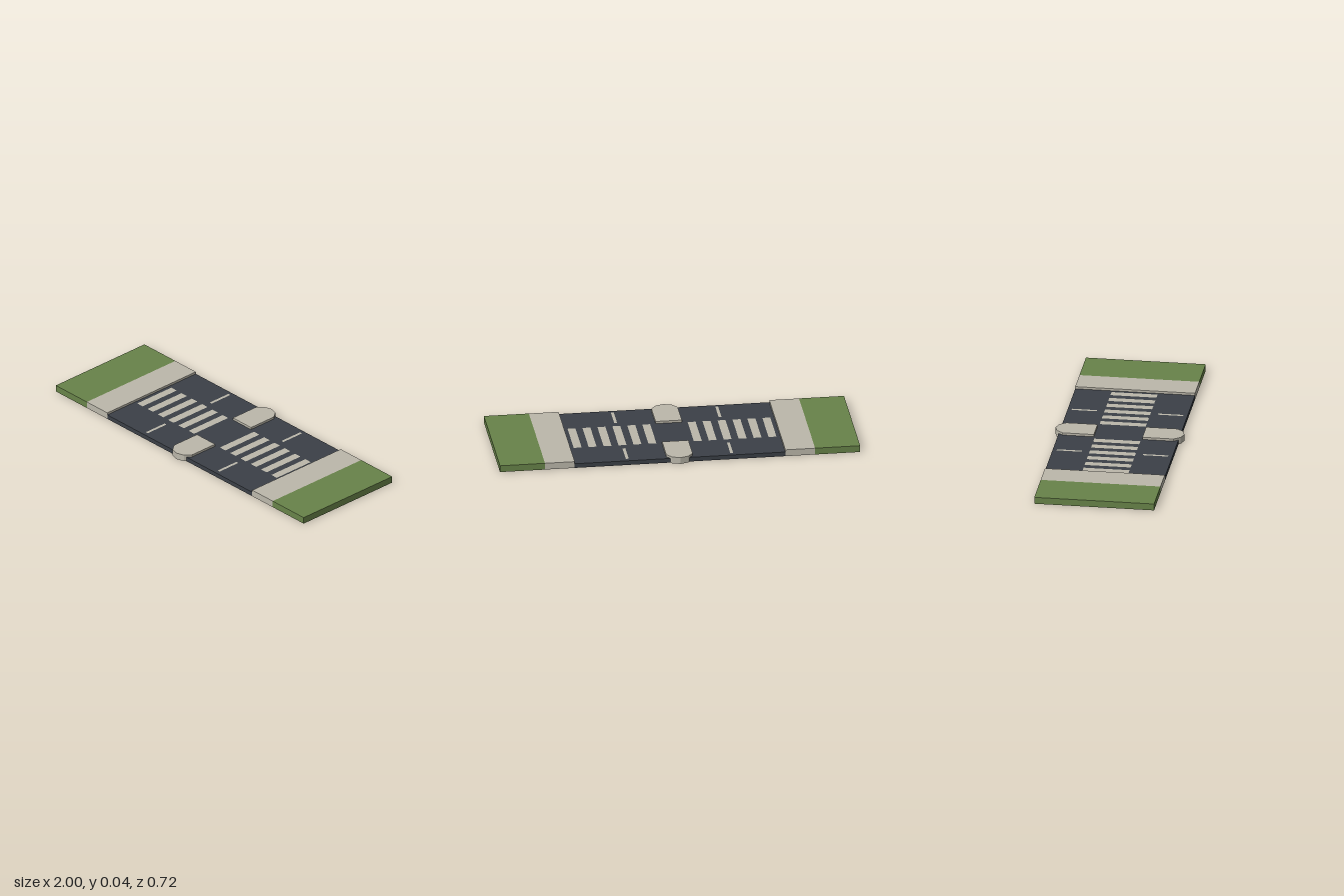
import * as THREE from 'three';

function flat(name, color) {
  const m = new THREE.MeshStandardMaterial({ color, side: THREE.DoubleSide });
  m.name = name;
  return m;
}

export function createModel() {
  const model = new THREE.Group();
  model.name = 'pedestrianCrossing';

  const grass = flat('grass green', 0x688349);
  const stone = flat('pale stone', 0xbcb8ab);
  const asphalt = flat('dark asphalt', 0x3b4047);

  const HALF_DEPTH = 0.333, KERB = 0.038, ROAD = 0.025;
  // Face order within a box
  const PX = 0, NX = 1, PY = 2, PZ = 4, NZ = 5;

  function add(name, geometry, material) {
    const mesh = new THREE.Mesh(geometry, material);
    mesh.name = name;
    model.add(mesh);
    return mesh;
  }

  // Hollow slab standing on the ground that keeps only the listed faces
  function shell(name, x0, x1, height, faces, material) {
    const g = new THREE.BoxGeometry(x1 - x0, height, HALF_DEPTH * 2);
    const all = Array.from(g.index.array);
    g.setIndex(faces.flatMap((f) => all.slice(f * 6, f * 6 + 6)));
    g.clearGroups();
    g.translate((x0 + x1) / 2, height / 2, 0);
    add(name, g, material);
  }

  // Painted marking lying on the road
  function marking(name, x, z, width, depth) {
    const g = new THREE.PlaneGeometry(width, depth).rotateX(-Math.PI / 2);
    add(name, g, stone).position.set(x, ROAD + 0.002, z);
  }

  // Road surface, open underneath
  shell('road', -0.585, 0.585, ROAD, [PY, PZ, NZ], asphalt);

  // Pavement and grass verge on each side
  shell('leftPavement', 0.585, 0.75, KERB, [NX, PY, PZ, NZ], stone);
  shell('rightPavement', -0.75, -0.585, KERB, [PX, PY, PZ, NZ], stone);
  shell('leftGrass', 0.75, 1, KERB, [PX, PY, PZ, NZ], grass);
  shell('rightGrass', -1, -0.75, KERB, [NX, PY, PZ, NZ], grass);

  for (const side of [-1, 1]) {
    // Crossing stripes
    for (let i = 0; i < 6; i++) {
      marking('crossingStripe', side * (0.126 + i * 0.083), 0, 0.044, 0.256);
    }
    // Lane dashes
    for (const end of [-1, 1]) {
      marking('laneDash', side * 0.29, end * 0.24, 0.016, 0.14);
    }
  }

  // Traffic islands with a faceted outer end
  const outline = [
    [-0.073, 0.135], [0.073, 0.135], [0.073, 0.308], [0.045, 0.344],
    [0, 0.358], [-0.045, 0.344], [-0.073, 0.308],
  ].map(([x, y]) => new THREE.Vector2(x, y));
  const islandGeometry = new THREE.ExtrudeGeometry(new THREE.Shape(outline), {
    depth: KERB, bevelEnabled: false,
  });
  islandGeometry.rotateX(-Math.PI / 2);
  add('backIsland', islandGeometry, stone);
  add('frontIsland', islandGeometry, stone).rotation.y = Math.PI;

  return model;
}
